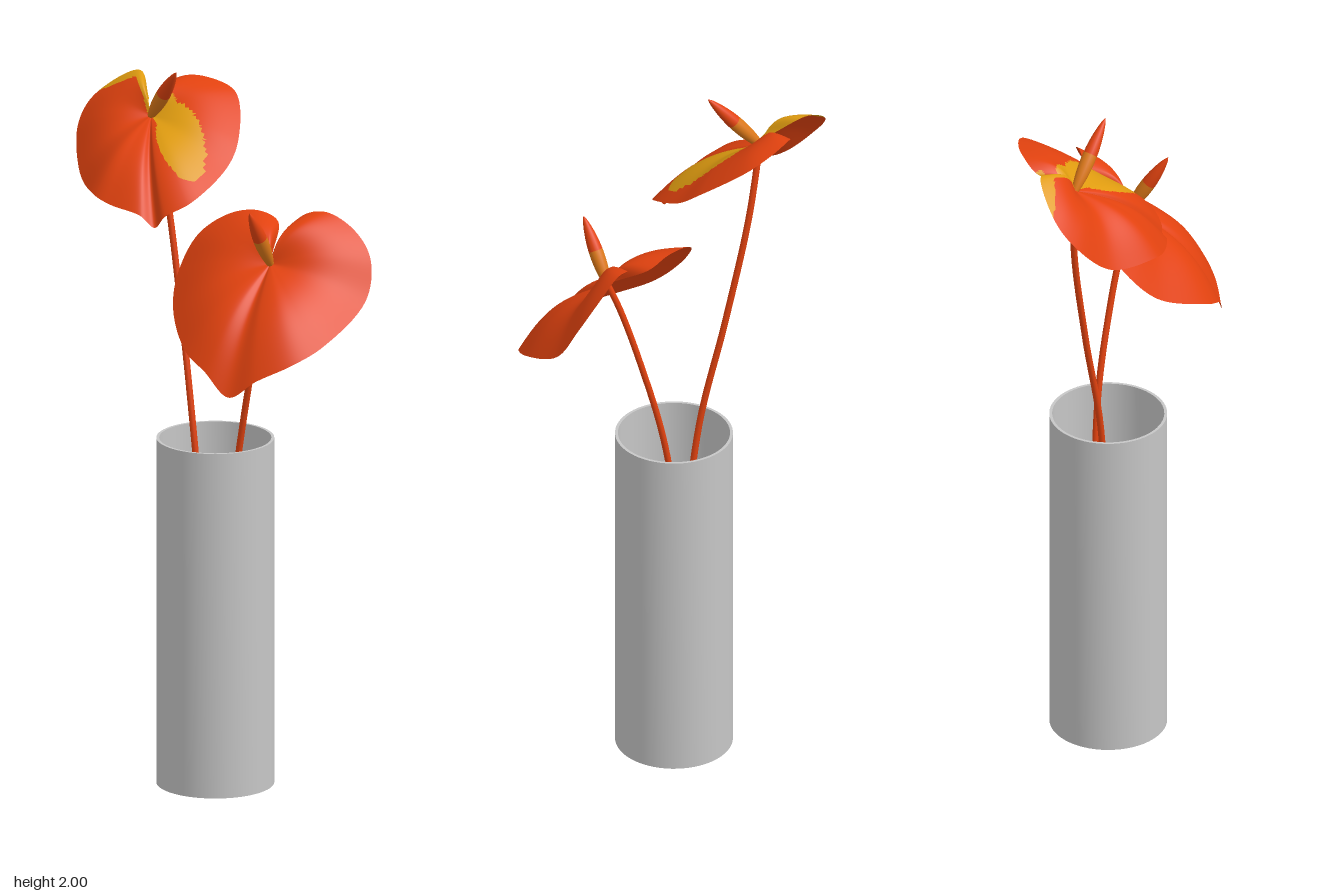
import * as THREE from 'three';
import { toCreasedNormals } from 'three/addons/utils/BufferGeometryUtils.js';

const material = (name, color, side = THREE.FrontSide) => {
  const m = new THREE.MeshStandardMaterial({ color, side });
  m.name = name;
  return m;
};
const red = material('bractRed', 0xe2420f, THREE.DoubleSide);
const yellow = material('patchYellow', 0xe09c10, THREE.DoubleSide);
const orange = material('spadixOrange', 0xdc7818);
const grey = material('vaseGrey', 0xc6c6c6);

const vec = (p) => new THREE.Vector3(...p);
const curveThrough = (points) => new THREE.CatmullRomCurve3(points.map(vec));

function add(parent, name, geometry, mat) {
  const mesh = new THREE.Mesh(geometry, mat);
  mesh.name = name;
  parent.add(mesh);
  return mesh;
}

// Whether a point seen from above lies in a turned ellipse
function inEllipse(x, z, { at, size, turn }) {
  const dx = x - at[0], dz = z - at[1];
  const along = dx * Math.cos(turn) + dz * Math.sin(turn);
  const across = dz * Math.cos(turn) - dx * Math.sin(turn);
  return (along / size[0]) ** 2 + (across / size[1]) ** 2 < 1;
}

// Heart-shaped bract: arched spokes from the stem joint to the rim
function bractGeometry({ base, rim, up, lift, patches }) {
  const SPOKES = 160, STEPS = 24;
  const edge = curveThrough(rim);
  const origin = vec(base), normal = vec(up).normalize();
  const points = [];
  for (let i = 0; i <= SPOKES; i++) {
    const end = edge.getPoint(i / SPOKES);
    const height = lift * Math.min(1, end.distanceTo(origin) / 0.16);
    for (let j = 0; j <= STEPS; j++) {
      const t = j / STEPS;
      points.push(origin.clone().lerp(end, t).addScaledVector(normal, height * Math.sin(Math.PI * t)));
    }
  }
  const faces = [[], []];
  const addFace = (a, b, c) => {
    const x = (points[a].x + points[b].x + points[c].x) / 3;
    const z = (points[a].z + points[b].z + points[c].z) / 3;
    faces[patches.some((p) => inEllipse(x, z, p)) ? 1 : 0].push(a, b, c);
  };
  for (let i = 0; i < SPOKES; i++) {
    for (let j = 0; j < STEPS; j++) {
      const a = i * (STEPS + 1) + j, b = a + STEPS + 1;
      if (j > 0) addFace(a, b, a + 1);
      addFace(b, b + 1, a + 1);
    }
  }
  const geometry = new THREE.BufferGeometry().setFromPoints(points);
  geometry.setIndex(faces.flat());
  geometry.addGroup(0, faces[0].length, 0);
  geometry.addGroup(faces[0].length, faces[1].length, 1);
  geometry.computeVertexNormals();
  return geometry;
}

// Tapered spadix: orange lower half, red upper half
function makeSpadix(base, tip) {
  const axis = vec(tip).sub(vec(base));
  const length = axis.length();
  const spadix = new THREE.Group();
  spadix.name = 'spadix';
  spadix.position.copy(vec(base));
  spadix.quaternion.setFromUnitVectors(new THREE.Vector3(0, 1, 0), axis.normalize());
  const section = (from, to) => {
    const profile = [];
    for (let i = 0; i <= 10; i++) {
      const t = from + ((to - from) * i) / 10;
      profile.push(new THREE.Vector2(0.02 * Math.sin(Math.PI * (0.12 + 0.88 * t)) ** 0.7, t * length));
    }
    return new THREE.LatheGeometry(profile, 20);
  };
  add(spadix, 'spadixBase', section(0, 0.5), orange);
  add(spadix, 'spadixTip', section(0.5, 1), red);
  return spadix;
}

function makeFlower(name, f) {
  const flower = new THREE.Group();
  flower.name = name;
  add(flower, 'bract', bractGeometry(f), [red, yellow]);
  add(flower, 'stem', new THREE.TubeGeometry(curveThrough([...f.stem, f.base]), 48, 0.009, 10), red);
  flower.add(makeSpadix(f.base, f.spadixTip));
  return flower;
}

export function createModel() {
  const model = new THREE.Group();
  model.name = 'flowersInVase';

  // Hollow cylindrical vase with a thin wall and a floor
  const wall = [[0, 0], [0.161, 0], [0.161, 0.98], [0.153, 0.98], [0.153, 0.015], [0, 0.015]];
  const vase = new THREE.LatheGeometry(wall.map((p) => new THREE.Vector2(...p)), 64);
  add(model, 'vase', toCreasedNormals(vase, 0.6), grey).position.z = -0.035;

  // Rims run from the notch round the left lobe to the tip and back
  model.add(makeFlower('upperFlower', {
    base: [-0.235, 1.84, -0.14], spadixTip: [-0.122, 2, -0.05],
    up: [0, 0.75, 0.66], lift: 0.033,
    rim: [
      [-0.235, 1.87, -0.19], [-0.238, 1.9, -0.245], [-0.19, 1.923, -0.277], [-0.12, 1.92, -0.288],
      [-0.04, 1.895, -0.27], [0.02, 1.8, -0.15], [0.02, 1.74, -0.07], [-0.03, 1.67, 0.07],
      [-0.09, 1.635, 0.105], [-0.12, 1.6, 0.105], [-0.16, 1.633, 0.115], [-0.25, 1.65, 0.105],
      [-0.31, 1.665, 0.08], [-0.41, 1.69, -0.05], [-0.455, 1.79, -0.15], [-0.43, 1.86, -0.205],
      [-0.31, 1.935, -0.238], [-0.255, 1.88, -0.172],
    ],
    patches: [
      { at: [-0.115, -0.065], size: [0.115, 0.062], turn: 0.87 },
      { at: [-0.19, -0.14], size: [0.065, 0.033], turn: 0.78 },
      { at: [-0.34, -0.235], size: [0.11, 0.034], turn: 0 },
      { at: [-0.265, -0.18], size: [0.06, 0.02], turn: 0.78 },
    ],
    stem: [[0.03, 0.03, -0.03], [-0.02, 0.5, -0.04], [-0.075, 0.98, -0.06],
      [-0.13, 1.3, -0.105], [-0.188, 1.62, -0.14]],
  }));

  model.add(makeFlower('lowerFlower', {
    base: [0.193, 1.515, 0.035], spadixTip: [0.175, 1.685, 0.14],
    up: [0, 0.62, 0.78], lift: 0.036,
    rim: [
      [0.202, 1.54, 0.01], [0.21, 1.58, -0.03], [0.24, 1.627, -0.08], [0.3, 1.64, -0.095],
      [0.38, 1.6, -0.1], [0.44, 1.53, -0.08], [0.455, 1.43, -0.02], [0.4, 1.335, 0.15],
      [0.34, 1.295, 0.23], [0.25, 1.25, 0.272], [0.175, 1.2, 0.285], [0.1, 1.262, 0.275],
      [0.03, 1.3, 0.24], [-0.068, 1.38, 0.1], [-0.085, 1.46, 0.02], [-0.055, 1.55, -0.05],
      [0.02, 1.605, -0.09], [0.1, 1.62, -0.1], [0.162, 1.6, -0.09], [0.188, 1.535, 0.01],
    ],
    patches: [],
    stem: [[-0.06, 0.03, -0.05], [-0.005, 0.5, -0.07], [0.065, 0.98, -0.06],
      [0.122, 1.25, -0.022], [0.165, 1.43, 0.015]],
  }));
  return model;
}
